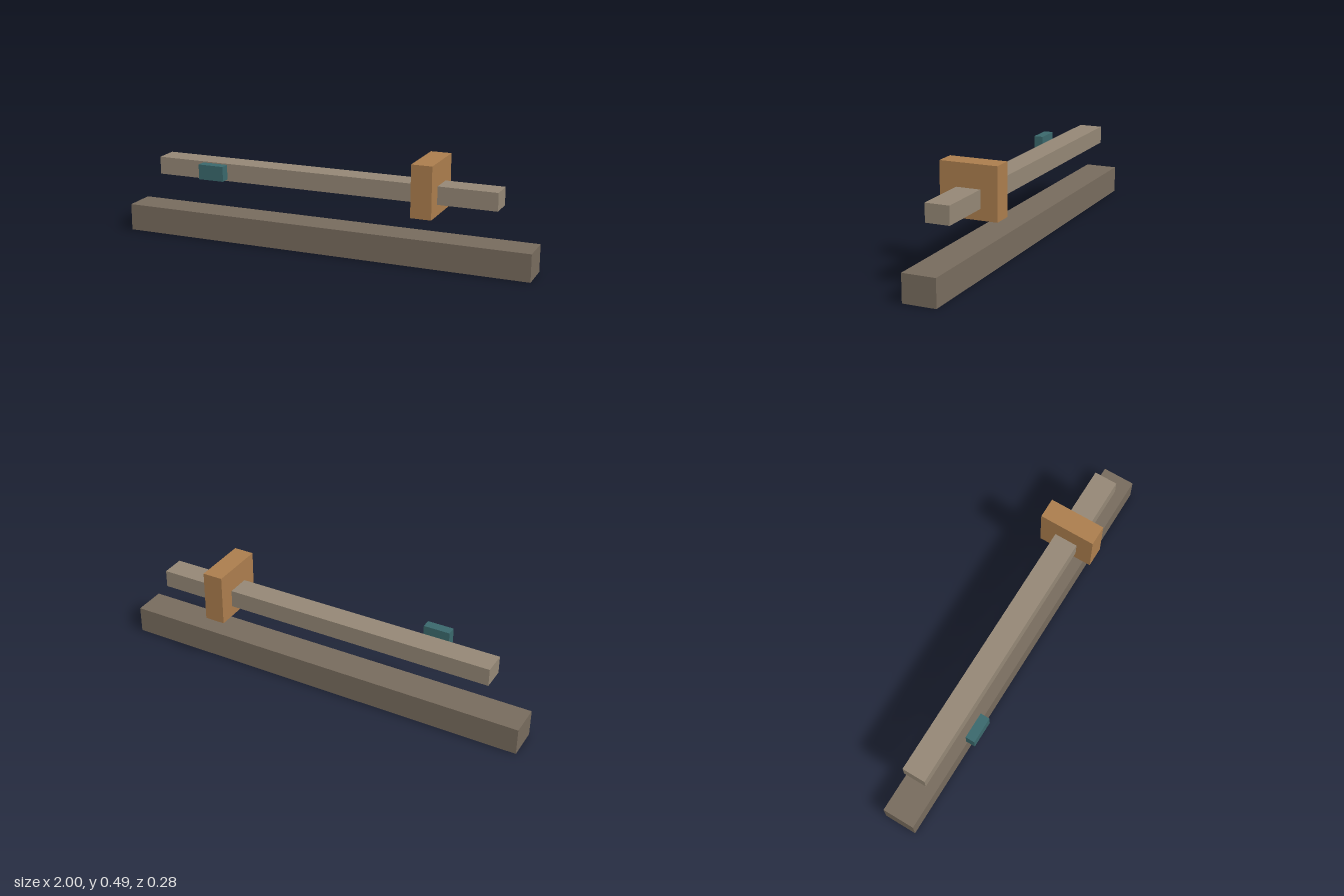
import * as THREE from 'three';

// Box given by its [min, max] extent along each axis
function block(name, color, [x0, x1], [y0, y1], [z0, z1]) {
  const mesh = new THREE.Mesh(
    new THREE.BoxGeometry(x1 - x0, y1 - y0, z1 - z0),
    new THREE.MeshStandardMaterial({ color })
  );
  mesh.name = name;
  mesh.position.set((x0 + x1) / 2, (y0 + y1) / 2, (z0 + z1) / 2);
  return mesh;
}

export function createModel() {
  const model = new THREE.Group();
  model.name = 'slidingBar';
  model.add(
    // Long beam lying on the ground
    block('baseBeam', 0x776b5d, [-1, 1], [0, 0.129], [-0.085, 0.072]),
    // Thinner bar floating above the beam
    block('upperBar', 0x948775, [-0.838, 0.838], [0.295, 0.379], [-0.063, 0.05]),
    // Collar around the upper bar
    block('collar', 0xab7d4d, [0.465, 0.562], [0.244, 0.487], [-0.142, 0.129]),
    // Small plate standing off the front of the bar
    block('frontPlate', 0x3a686c, [-0.578, -0.452], [0.316, 0.387], [0.097, 0.142])
  );
  return model;
}
